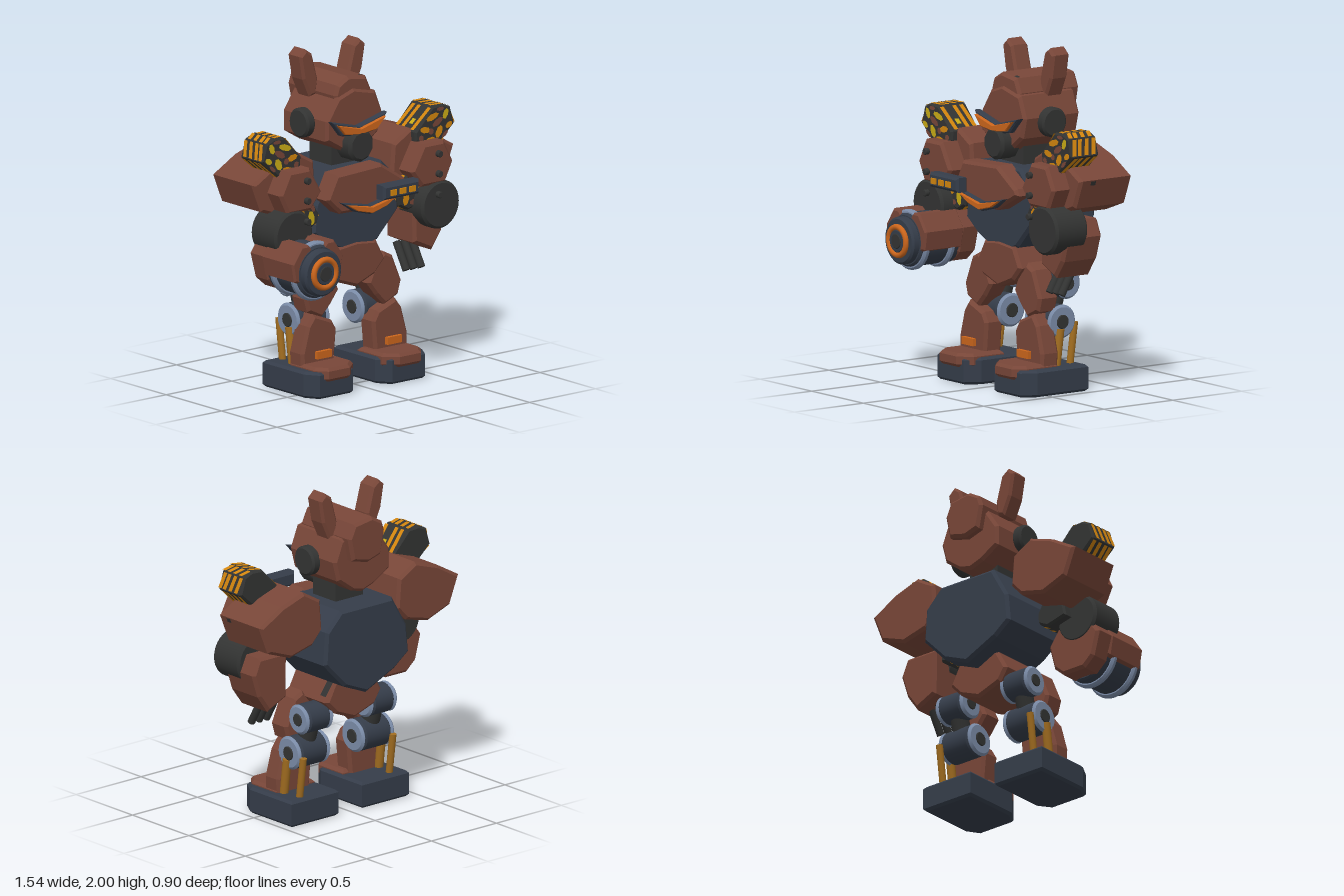
import * as THREE from 'three';

const mat = (name, color, side = THREE.FrontSide) => {
  const m = new THREE.MeshStandardMaterial({ color, side });
  m.name = name;
  return m;
};

export function createModel() {
  const brown = mat('rustBrown', 0x784638);
  const navy = mat('navySteel', 0x353d4a);
  const dark = mat('darkGrey', 0x333433);
  const steel = mat('paleSteel', 0x7b8ca8);
  const orange = mat('glowOrange', 0xcc661c);
  const amber = mat('amber', 0xd4860e, THREE.DoubleSide);
  const yellow = mat('yellow', 0xcaac16, THREE.DoubleSide);
  const stain = mat('stainGrey', 0x333433, THREE.DoubleSide);
  const brass = mat('brass', 0xa06c20);

  const root = new THREE.Group();
  root.name = 'robot';
  const body = new THREE.Group();
  body.name = 'body';
  body.position.x = 0.008; // symmetry plane
  root.add(body);

  const add = (name, geo, m, x = 0, y = 0, z = 0) => {
    const mesh = new THREE.Mesh(geo, m);
    mesh.name = name;
    mesh.position.set(x, y, z);
    body.add(mesh);
    return mesh;
  };
  // bevelled polygon running from z0 to z1; s = -1 mirrors it
  const slabGeo = (pts, z0, z1, b = 0.015, s = 1) => {
    const shape = new THREE.Shape(pts.map(([x, y]) => new THREE.Vector2(x * s, y)));
    const g = new THREE.ExtrudeGeometry(shape, {
      depth: z1 - z0 - 2 * b, bevelEnabled: b > 0, bevelThickness: b,
      bevelSize: b, bevelOffset: -b, bevelSegments: 1,
    });
    return g.translate(0, 0, z0 + b);
  };
  const slab = (name, m, pts, z0, z1, b, s) => add(name, slabGeo(pts, z0, z1, b, s), m);
  // drum with chamfered rims along 'x' or 'z'
  const drum = (name, m, r, len, axis, x, y, z, c = 0.012, n = 32) => {
    const h = len / 2;
    const p = [[0, -h], [r - c, -h], [r - c, -h], [r, c - h], [r, c - h], [r, h - c], [r, h - c], [r - c, h], [r - c, h], [0, h]];
    const g = new THREE.LatheGeometry(p.map(([a, b]) => new THREE.Vector2(a, b)), n);
    if (axis === 'z') g.rotateX(Math.PI / 2); else g.rotateZ(Math.PI / 2);
    return add(name, g, m, x, y, z);
  };
  const rod = (name, m, r, a, b) => {
    const A = new THREE.Vector3(...a), B = new THREE.Vector3(...b);
    const mesh = add(name, new THREE.CylinderGeometry(r, r, A.distanceTo(B), 16), m);
    mesh.position.copy(A).add(B).multiplyScalar(0.5);
    mesh.quaternion.setFromUnitVectors(new THREE.Vector3(0, 1, 0), B.sub(A).normalize());
  };
  // painted quad on side i of a polygon, from t0 to t1 along it, leaning in z
  const patch = (name, m, pts, i, t0, t1, z0, z1, lean, s) => {
    const [ax, ay] = pts[i], [bx, by] = pts[(i + 1) % pts.length];
    const cx = pts.reduce((q, p) => q + p[0], 0) / pts.length, cy = pts.reduce((q, p) => q + p[1], 0) / pts.length;
    const len = Math.hypot(bx - ax, by - ay);
    let nx = (by - ay) / len, ny = (ax - bx) / len;
    const out = Math.sign(nx * (ax - cx) + ny * (ay - cy)) * 0.003;
    nx *= out; ny *= out;
    const at = (t, z) => [(ax + (bx - ax) * t + nx) * s, ay + (by - ay) * t + ny, z + lean * (t - 0.5)];
    const [p, q, r, u] = [at(t0, z0), at(t1, z0), at(t1, z1), at(t0, z1)];
    const g = new THREE.BufferGeometry();
    const flip = (nx * (by - ay) - ny * (bx - ax)) * s > 0;
    const v = flip ? [p, q, r, p, r, u] : [p, r, q, p, u, r];
    g.setAttribute('position', new THREE.Float32BufferAttribute(v.flat(), 3));
    g.computeVertexNormals();
    add(name, g, m);
  };
  // leaning stripes on every listed side
  const stripes = (pts, sides, zs, s) => sides.forEach((i) => zs.forEach((z) =>
    patch('paintStripe', amber, pts, i, 0.06, 0.94, z - 0.014, z + 0.014, 0.024, s)));
  // flat paint spots on a front face: [x, y, rx, ry, turn, material]
  const spots = (list, z, s) => list.forEach(([x, y, rx, ry, a, m]) => {
    const o = add('paintSpot', new THREE.CircleGeometry(1, 7), m, x * s, y, z);
    o.scale.set(rx, ry, 1);
    o.rotation.z = a * s;
  });

  // head
  const crest = [[-.13, 1.74], [-.11, 1.8], [-.03, 1.845], [.11, 1.825], [.15, 1.74], [.12, 1.6], [0, 1.57], [-.1, 1.6]];
  slab('head', brown, [[-.12, 1.73], [0, 1.77], [.17, 1.73], [.222, 1.6], [.19, 1.48], [.08, 1.4], [0, 1.38], [-.09, 1.41], [-.208, 1.48], [-.208, 1.6]], -.405, 0, .018);
  slab('crest', brown, crest, -.455, -.015, .018);
  patch('stain', stain, crest, 2, .72, .95, -.06, -.035, 0, 1);
  slab('visorFrame', navy, [[-.205, 1.605], [0, 1.552], [.215, 1.605], [.13, 1.512], [0, 1.492], [-.13, 1.512]], 0, .048, .008);
  slab('visorGlow', orange, [[-.175, 1.585], [0, 1.542], [.185, 1.588], [.12, 1.522], [0, 1.508], [-.12, 1.522]], .042, .07, .004);
  drum('muzzle', dark, .098, .14, 'z', .003, 1.437, 0, .018, 10);
  add('neck', new THREE.BoxGeometry(.21, .22, .2), dark, 0, 1.36, -.18);

  // torso
  const pelvis = [[-.14, .845], [0, .86], [.15, .845], [.217, .72], [.14, .64], [0, .585], [-.16, .64], [-.212, .72]];
  slab('torso', navy, [[-.2, 1.31], [.2, 1.31], [.31, 1.2], [.325, 1], [.17, .84], [0, .77], [-.22, .87], [-.328, .95], [-.31, 1.12]], -.44, .02, .018);
  slab('chest', brown, [[-.23, 1.31], [.11, 1.325], [.29, 1.21], [.31, 1.17], [.1, 1.06], [-.2, 1.07], [-.305, 1.165]], -.01, .12, .018);
  slab('ventFrame', navy, [[-.215, 1.143], [0, 1.1], [.215, 1.143], [.12, 1.078], [0, 1.045], [-.12, 1.078]], .11, .152, .008);
  slab('ventGlow', orange, [[-.19, 1.13], [0, 1.092], [.19, 1.13], [.11, 1.083], [0, 1.055], [-.11, 1.083]], .146, .172, .004);
  slab('lampBar', navy, [[-.135, 1.2], [.14, 1.2], [.14, 1.287], [-.135, 1.287]], .35, .43, .014);
  for (const x of [-.072, 0, .071]) add('lamp', new THREE.BoxGeometry(.045, .034, .009), amber, x, 1.243, .443);
  slab('pelvis', brown, pelvis, -.33, .03, .018);
  patch('stain', stain, pelvis, 2, .05, .75, -.31, -.26, .02, 1);

  for (const s of [1, -1]) {
    // upright antennae and ear discs
    slab('antenna', brown, [[.125, 1.72], [.175, 1.71], [.225, 1.82], [.25, 1.96], [.205, 2], [.155, 1.965], [.112, 1.81]], -.31, -.187, .015, s);
    drum('earDisc', dark, .088, .064, 'x', s * .238, 1.57, -.185);

    // shoulder block and front plate
    const block = [[.3, 1.385], [.43, 1.46], [.6, 1.405], [.768, 1.31], [.7, 1.14], [.53, 1.078], [.36, 1.12], [.285, 1.2]];
    slab('shoulder', brown, block, -.378, 0, .018, s);
    if (s > 0) patch('stain', stain, block, 3, .03, .18, -.11, -.075, 0, s);
    slab('shoulderPlate', brown, [[.43, 1.385], [.59, 1.385], [.66, 1.25], [.6, 1.13], [.42, 1.13], [.34, 1.23]], -.02, .12, .018, s);
    for (const y of [1.33, 1.21, 1.085]) drum('rivet', dark, .02, .03, 'z', s * .5, y, .175, .004, 16);

    // hazard-painted pauldron
    const pad = [[.432, 1.44], [.563, 1.575], [.643, 1.58], [.702, 1.555], [.733, 1.45], [.61, 1.34], [.49, 1.34], [.436, 1.385]];
    slab('pauldron', dark, pad, -.16, .04, .012, s);
    stripes(pad, [1, 2, 3, 4], [-.127, -.077, -.027, .012], s);
    stripes(pad, [0], [-.127, -.077, .012], s);
    patch('paintSpot', yellow, pad, 0, .25, .45, -.05, -.02, .02, s);
    patch('paintSpot', yellow, pad, 7, .2, .8, -.12, -.05, .02, s);
    const main = s > 0 ? amber : yellow;
    spots([
      [.56, 1.515, .05, .02, .3, main], [.66, 1.52, .02, .034, -.4, yellow],
      [.505, 1.445, .04, .02, -.2, amber], [.61, 1.42, .024, .04, -.5, main],
      [.685, 1.45, .028, .018, .5, main], [.54, 1.38, .04, .016, .2, amber],
      [.6, 1.48, .045, .02, .5, brown], [.475, 1.4, .02, .018, -.4, brown],
      [.62, 1.555, .03, .012, 0, brown], [.655, 1.4, .03, .012, .7, brown], [.55, 1.43, .02, .02, .2, brown],
    ], .0425, s);

    // hazard-painted upper arm and elbow
    const arm = [[.295, 1.07], [.37, 1.2], [.48, 1.19], [.52, 1.02], [.38, .985], [.31, 1.02]];
    slab('upperArm', dark, arm, -.16, .04, .012, s);
    stripes(arm, [0, 4, 5], [-.12, -.06, .005], s);
    spots([[.385, 1.145, .026, .04, -.3, amber], [.36, 1.06, .024, .045, -.2, main], [.44, 1.1, .035, .024, .5, amber],
      [.42, 1.03, .035, .018, 0, brown], [.435, 1.165, .028, .018, .2, brown], [.35, 1.12, .014, .03, -.4, brown]], .0425, s);
    drum('elbow', dark, .145, .23, 'z', s * .558, 1.005, .01, .015);

    // leg
    slab('thigh', brown, [[.23, .755], [.3, .72], [.368, .56], [.345, .48], [.24, .43], [.17, .5], [.108, .58], [.14, .65]], -.14, 0, .018, s);
    slab('shin', brown, [[.31, .465], [.17, .41], [.135, .35], [.155, .14], [.4, .14], [.405, .24], [.36, .4]], -.115, .012, .018, s);
    for (const [y, z, r, half] of [[.625, -.225, .09, .09], [.41, -.165, .1, .11]]) {
      drum('jointDrum', navy, r * .98, half * 2 - .02, 'x', s * .245, y, z);
      for (const e of [-half, half]) {
        drum('jointRing', steel, r, .028, 'x', s * .245 + e, y, z, .014);
        drum('jointHub', dark, r * .42, .042, 'x', s * .245 + e, y, z, .004, 16);
      }
    }
    rod('kneeStrut', dark, .055, [s * .245, .41, -.165], [s * .245, .625, -.225]);
    rod('piston', brass, .021, [s * .345, .4, -.27], [s * .345, .14, -.235]);
    rod('piston', brass, .026, [s * .365, .37, -.15], [s * .365, .14, -.12]);

    // foot, laid flat from its plan outline
    const flat = (name, m, pts, y0, y1, b) => add(name, slabGeo(pts, y0, y1, b, s).rotateX(-Math.PI / 2), m);
    flat('foot', navy, [[.09, .29], [.452, .29], [.452, -.08], [.4, -.167], [.15, -.167], [.09, -.08]], 0, .158, .015);
    flat('toeCap', brown, [[.11, .1], [.405, .1], [.405, -.12], [.35, -.19], [.19, -.19], [.11, -.12]], .1, .182, .018);
    add('shinLamp', new THREE.BoxGeometry(.11, .044, .024), orange, s * .267, .228, .04);
  }

  // left forearm and fingers
  slab('forearm', brown, [[.42, 1.06], [.64, 1.06], [.685, .96], [.64, .82], [.565, .715], [.425, .78]], -.22, .04, .018);
  for (const x of [.422, .48, .537]) rod('finger', dark, .023, [x, .76, -.12], [x, .605, -.03]);

  // right forearm cannon
  const cx = -.528, cy = .816;
  const at = (pts) => pts.map(([x, y]) => [x + cx, y + cy]);
  slab('cannonRear', brown, at([[-.12, .165], [.12, .165], [.19, .07], [.15, -.08], [.08, -.14], [-.08, -.14], [-.15, -.08], [-.19, .07]]), -.1, .04, .018);
  for (const s of [1, -1])
    slab('cannonCover', brown, at([[.045, .145], [.045, .1], [.1, .02], [.135, -.055], [.175, -.04], [.195, .07], [.125, .17], [.07, .17]].map(([x, y]) => [x * s, y])), .02, .303, .012);
  drum('cannonBarrel', navy, .158, .3, 'z', cx, cy, .155);
  for (const z of [.085, .268]) drum('cannonRing', steel, .178, .042, 'z', cx, cy, z);
  drum('cannonNose', navy, .14, .06, 'z', cx, cy, .325);
  add('muzzleGlow', new THREE.TorusGeometry(.083, .018, 10, 32), orange, cx, cy, .362);
  drum('muzzleCore', navy, .068, .04, 'z', cx, cy, .352, .005);
  drum('muzzleBore', dark, .045, .03, 'z', cx, cy, .362, .004);

  return root;
}
